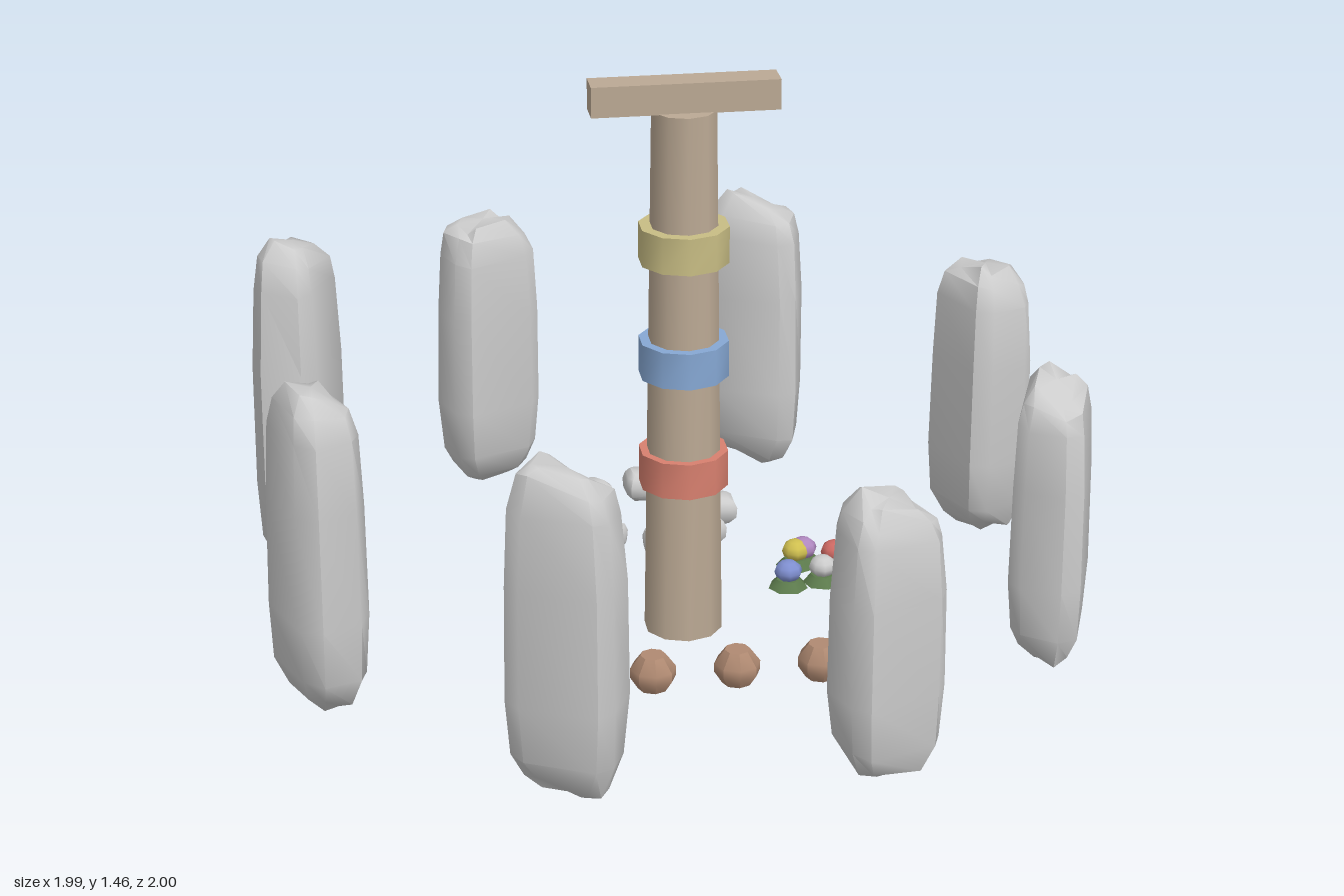
import * as THREE from 'three';
import { toCreasedNormals } from 'three/addons/utils/BufferGeometryUtils.js';

const material = (color) => new THREE.MeshStandardMaterial({ color });
const STONE = material(0xcccccc);
const WOOD = material(0xbba994);
const CLAY = material(0xb08a72);
const LEAF = material(0x5c7a4c);
const FLOOR = 0.08;

function add(parent, name, geometry, mat, x, y, z) {
  const mesh = new THREE.Mesh(geometry, mat);
  mesh.name = name;
  mesh.position.set(x, y, z);
  parent.add(mesh);
  return mesh;
}

function seeded(seed) {
  let s = seed * 7919 + 17;
  return () => {
    s = (s * 16807) % 2147483647;
    return s / 2147483647 - 0.5;
  };
}

// Rough block: chamfered rectangular sections stacked along a [height, scale] profile
function rockGeometry(w, h, d, profile, seed, rough, slope) {
  const rnd = seeded(seed);
  for (let i = 0; i < 5; i++) rnd();
  const section = [
    [-0.36, 0.5], [0.36, 0.5], [0.5, 0.3], [0.5, -0.3],
    [0.36, -0.5], [-0.36, -0.5], [-0.5, -0.3], [-0.5, 0.3],
  ].map(([x, z]) => [x * (1 + rnd() * rough), z * (1 + rnd() * rough)]);
  const n = section.length;
  const tiltX = rnd() * slope, tiltZ = rnd() * slope;
  const points = [], index = [];
  profile.forEach(([t, s]) => {
    const end = Math.max(0, Math.abs(t - 0.5) * 2 - 0.6) / 0.4;
    section.forEach(([x, z]) => {
      const k = s * (1 + rnd() * rough * (0.3 + 0.7 * end));
      const lift = (x * tiltX + z * tiltZ + rnd() * slope * 0.35) * end;
      points.push(x * w * k, Math.max(0, t * h + lift), z * d * k);
    });
  });
  const last = profile.length - 1;
  for (let i = 0; i < last; i++) {
    for (let j = 0; j < n; j++) {
      const a = i * n + j, b = i * n + ((j + 1) % n);
      index.push(a, b, a + n, b, b + n, a + n);
    }
  }
  // End caps
  const bottom = points.length / 3;
  points.push(0, 0, 0, 0, h, 0);
  for (let j = 0; j < n; j++) {
    const k = (j + 1) % n;
    index.push(k, j, bottom, last * n + j, last * n + k, bottom + 1);
  }
  const geometry = new THREE.BufferGeometry();
  geometry.setAttribute('position', new THREE.Float32BufferAttribute(points, 3));
  geometry.setIndex(index);
  return toCreasedNormals(geometry, 0.8);
}

export function createModel() {
  const model = new THREE.Group();
  model.name = 'stoneCircle';

  // Outer ring of standing stones: x, z, height
  const stones = new THREE.Group();
  stones.name = 'standingStones';
  model.add(stones);
  const stoneProfile = [
    [0, 0.4], [0.04, 0.7], [0.12, 0.93], [0.3, 1],
    [0.65, 0.98], [0.87, 0.9], [0.95, 0.78], [0.99, 0.5],
  ];
  [
    [0.36, 0.87, 0.69], [0.87, 0.36, 0.73], [0.87, -0.365, 0.75], [0.36, -0.88, 0.77],
    [-0.365, -0.88, 0.75], [-0.885, -0.365, 0.91], [-0.885, 0.36, 0.82], [-0.365, 0.88, 0.82],
  ].forEach(([x, z, top], i) => {
    const geometry = rockGeometry(0.25, top - 0.015, 0.175, stoneProfile, i + 1, 0.12, 0.1);
    const stone = add(stones, 'standingStone', geometry, STONE, x, 0.015, z);
    stone.rotation.y = Math.atan2(x, z);
  });

  // Central pole with three painted bands and a crossbeam
  const pole = new THREE.Group();
  pole.name = 'pole';
  pole.position.set(0, 0, 0.22);
  model.add(pole);
  const shaft = toCreasedNormals(new THREE.CylinderGeometry(0.077, 0.095, 1.32, 10), 0.8);
  add(pole, 'shaft', shaft, WOOD, 0, FLOOR + 0.66, 0);
  [[0.505, 0xd8806f], [0.787, 0x86a8d4], [1.073, 0xc8bd84]].forEach(([y, color]) => {
    const band = toCreasedNormals(new THREE.CylinderGeometry(0.108, 0.108, 0.09, 10), 0.8);
    add(pole, 'paintedBand', band, material(color), 0, y, 0);
  });
  add(pole, 'crossbeam', new THREE.BoxGeometry(0.44, 0.073, 0.073), WOOD, 0, 1.435, 0);

  // Small ring of hearth stones
  const hearth = new THREE.Group();
  hearth.name = 'hearth';
  hearth.position.set(0, FLOOR, -0.35);
  model.add(hearth);
  const pebbleProfile = [[0, 0.6], [0.25, 0.95], [0.6, 1], [0.85, 0.85], [1, 0.55]];
  for (let i = 0; i < 8; i++) {
    const a = (i * Math.PI) / 4;
    const geometry = rockGeometry(0.08, 0.074, 0.092, pebbleProfile, i + 20, 0.1, 0.01);
    const pebble = add(hearth, 'hearthStone', geometry, STONE, 0.178 * Math.sin(a), 0, 0.178 * Math.cos(a));
    pebble.rotation.y = a;
  }

  // Row of clay pots
  const potProfile = [[0, 0], [0.036, 0], [0.055, 0.03], [0.055, 0.052], [0.03, 0.086], [0, 0.086]]
    .map(([r, y]) => new THREE.Vector2(r, y));
  for (let i = 0; i < 4; i++) {
    const pot = toCreasedNormals(new THREE.LatheGeometry(potProfile, 8), 0.6);
    add(model, 'pot', pot, CLAY, -0.32 + i * 0.2, FLOOR, 0.535);
  }

  // Flower patch: each bloom sits on a leaf pad
  const patch = new THREE.Group();
  patch.name = 'flowerPatch';
  model.add(patch);
  [
    [0.33, -0.06, 0xd0c050], [0.35, -0.07, 0xb088c0], [0.425, -0.04, 0xd06a64],
    [0.29, 0.055, 0x7f8fd0], [0.38, 0.04, 0xcccccc],
  ].forEach(([x, z, color], i) => {
    const pad = new THREE.CylinderGeometry(0.03, 0.05, 0.022, 7);
    add(patch, 'leafPad', pad, LEAF, x, FLOOR + 0.011, z).rotation.y = i * 0.7;
    const bloom = new THREE.SphereGeometry(0.035, 8, 6);
    bloom.scale(1, 0.8, 1);
    add(patch, 'bloom', bloom, material(color), x, FLOOR + 0.043, z);
  });

  return model;
}
